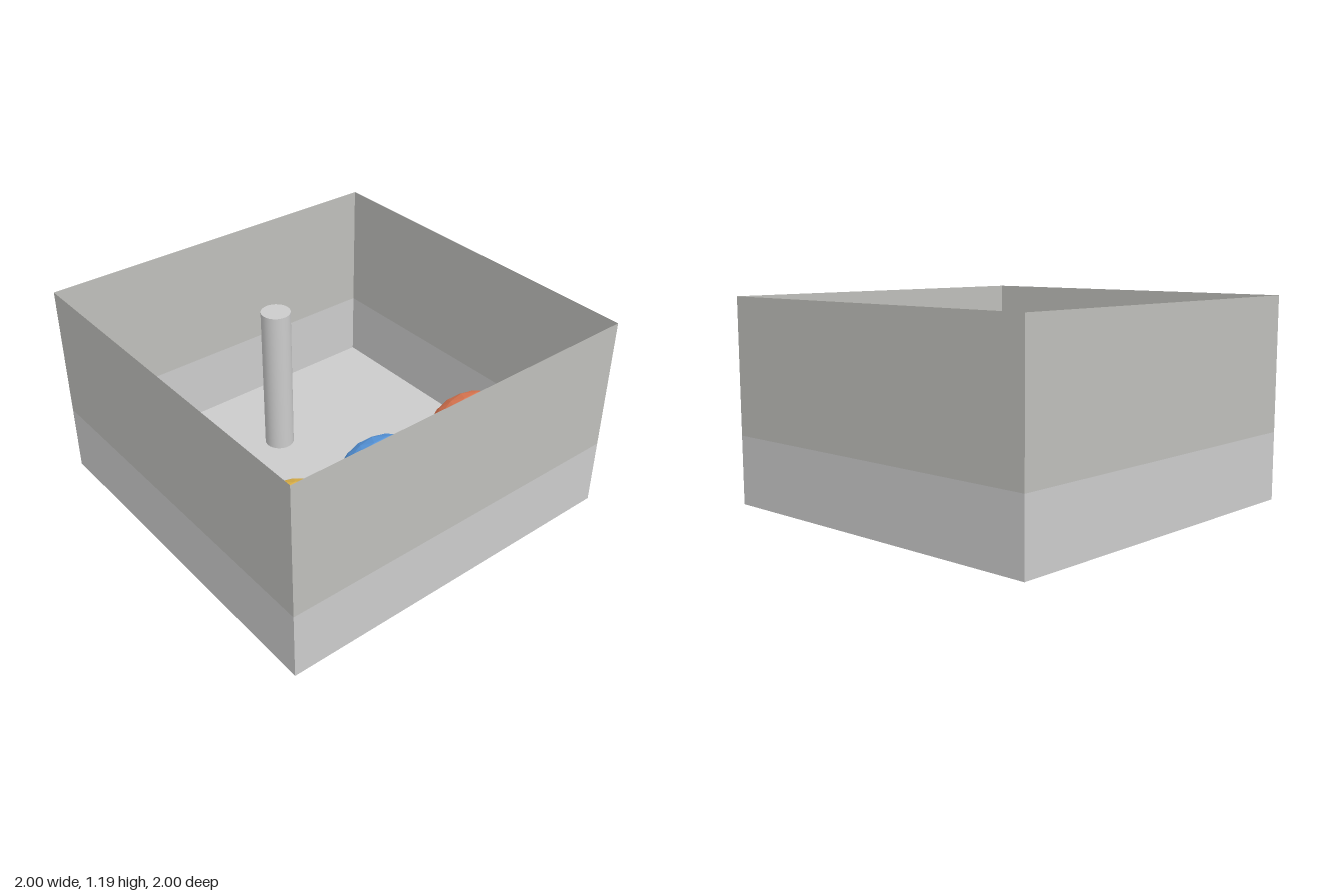
import * as THREE from 'three';

const FLOOR = 0.09, BAND = 0.46, RIM = 1.19;

const grey = new THREE.MeshStandardMaterial({ color: 0xcccccc });
const sheet = (color) => new THREE.MeshStandardMaterial({ color, side: THREE.DoubleSide });

// Four thin upright sheets closing a 2 x 2 square between two heights
function wallRing(name, bottom, top, material) {
  const ring = new THREE.Group();
  ring.name = name;
  for (let i = 0; i < 4; i++) {
    const geometry = new THREE.PlaneGeometry(2, top - bottom);
    geometry.translate(0, (top + bottom) / 2, 1);
    geometry.rotateY((i * Math.PI) / 2);
    const wall = new THREE.Mesh(geometry, material);
    wall.name = ['frontWall', 'leftWall', 'backWall', 'rightWall'][i];
    ring.add(wall);
  }
  return ring;
}

// Faceted ball resting on the floor, with a vertex at each pole
function ball(name, x, color) {
  const radius = 0.28;
  const geometry = new THREE.IcosahedronGeometry(radius, 3);
  geometry.rotateX(-Math.atan(2 / (1 + Math.sqrt(5))));
  const mesh = new THREE.Mesh(geometry, new THREE.MeshStandardMaterial({ color, flatShading: true }));
  mesh.name = name;
  mesh.position.set(x, FLOOR + radius, 0.515);
  return mesh;
}

export function createModel() {
  const model = new THREE.Group();
  model.name = 'openBoxWithBalls';

  // Open box: floor, lower band and upper walls
  const lower = sheet(0xcccccc);
  const floor = new THREE.Mesh(new THREE.PlaneGeometry(2, 2).rotateX(-Math.PI / 2), lower);
  floor.name = 'floor';
  floor.position.y = FLOOR;
  model.add(floor);
  model.add(wallRing('lowerWalls', FLOOR, BAND, lower));
  model.add(wallRing('upperWalls', BAND, RIM, sheet(0xbfbfbb)));

  // Post passing through the floor
  const height = 0.95;
  const post = new THREE.Mesh(new THREE.CylinderGeometry(0.082, 0.082, height, 32), grey);
  post.name = 'post';
  post.position.set(0.01, height / 2, -0.475);
  model.add(post);

  // Row of balls along the front
  model.add(ball('yellowBall', -0.605, 0xe8ba4c));
  model.add(ball('blueBall', -0.02, 0x5b9ee8));
  model.add(ball('orangeBall', 0.61, 0xe87d55));

  return model;
}
